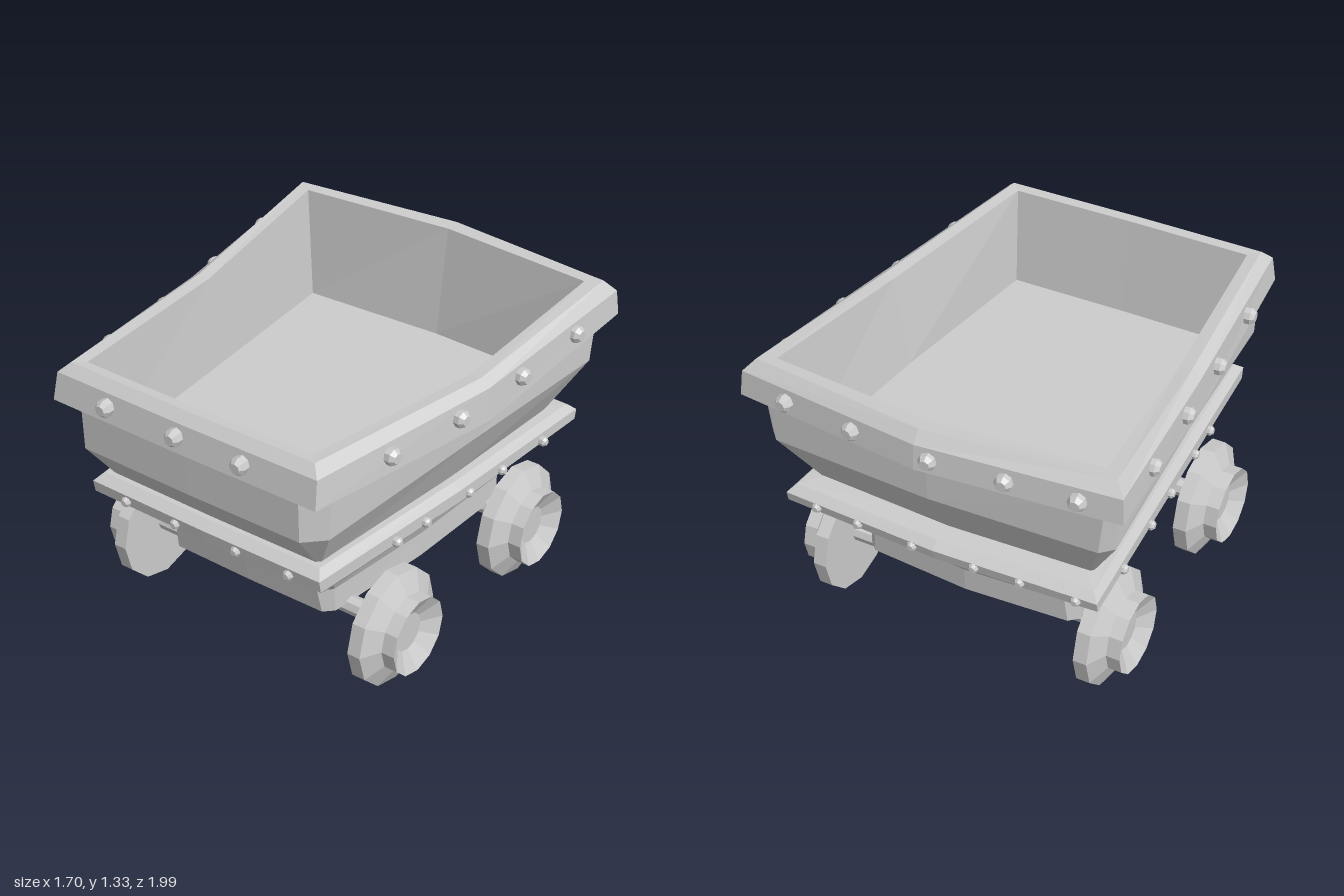
import * as THREE from 'three';

const mat = new THREE.MeshStandardMaterial({ color: 0xcccccc, flatShading: true });
const openMat = new THREE.MeshStandardMaterial({ color: 0xcccccc, flatShading: true, side: THREE.DoubleSide });

// Horizontal loop of a tapered box: wide back, narrow front, bowed back edge,
// separate heights at front, middle and back; c and cb cut the front and back corners.
function ring({ xf, xb, zf, zb, yf, ym = yf, yb = yf, bow = 0.03, bulge = 0.02, c = 0, cb = c }) {
  const xm = (xf + xb) / 2;
  const corner = (x, y, z, cut, sideFirst) => {
    if (!cut) return [[x, y, z]];
    const onEnd = [x - Math.sign(x) * cut, y, z];
    const onSide = [x, y, z - Math.sign(z) * cut];
    return sideFirst ? [onSide, onEnd] : [onEnd, onSide];
  };
  return [
    ...corner(xf, yf, zf, c, false),
    [xm + bulge, ym, 0],
    ...corner(xb, yb, zb, cb, true),
    [0, yb, zb - bow],
    ...corner(-xb, yb, zb, cb, false),
    [-xm, ym, 0],
    ...corner(-xf, yf, zf, c, true),
    [0, yf, zf + 0.005],
  ];
}

// Skin a stack of loops, optionally closing the first or last one.
function loft(name, rings, { capFirst = false, capLast = false } = {}) {
  const n = rings[0].length;
  const pos = rings.flat(2);
  const idx = [];
  for (let r = 0; r < rings.length - 1; r++) {
    for (let i = 0; i < n; i++) {
      const j = (i + 1) % n;
      const a = r * n + i, b = r * n + j;
      idx.push(a, b, b + n, a, b + n, a + n);
    }
  }
  const cap = (r, up) => {
    const centre = pos.length / 3;
    const y = rings[r].reduce((s, p) => s + p[1], 0) / n;
    pos.push(0, y, 0);
    for (let i = 0; i < n; i++) {
      const a = r * n + i, b = r * n + (i + 1) % n;
      idx.push(centre, ...(up ? [a, b] : [b, a]));
    }
  };
  if (capFirst) cap(0, false);
  if (capLast) cap(rings.length - 1, true);
  const geo = new THREE.BufferGeometry();
  geo.setAttribute('position', new THREE.Float32BufferAttribute(pos, 3));
  geo.setIndex(idx);
  const flat = geo.toNonIndexed();
  flat.computeVertexNormals();
  const mesh = new THREE.Mesh(flat, openMat);
  mesh.name = name;
  return mesh;
}

function lathe(name, points, sides) {
  const geo = new THREE.LatheGeometry(points.map(([r, y]) => new THREE.Vector2(r, y)), sides);
  const mesh = new THREE.Mesh(geo, mat);
  mesh.name = name;
  return mesh;
}

// Faceted stud pointing along (nx, 0, nz)
function rivet(name, x, y, z, nx, nz, s) {
  const mesh = lathe(name, [[0, -s], [s, -s], [s, s * 0.45], [s * 0.6, s * 0.95], [0, s * 0.95]], 8);
  mesh.position.set(x, y, z);
  mesh.quaternion.setFromUnitVectors(new THREE.Vector3(0, 1, 0), new THREE.Vector3(nx, 0, nz).normalize());
  return mesh;
}

// Flanged wheel with a dished hub, facing +x (side = 1) or -x (side = -1)
function wheel(name, side, z) {
  const mesh = lathe(name, [
    [0, 0], [0.258, 0], [0.258, 0.06], [0.172, 0.105],
    [0.172, 0.165], [0.085, 0.115], [0, 0.115],
  ], 12);
  mesh.rotation.z = -side * Math.PI / 2;
  mesh.position.set(side > 0 ? 0.602 : -0.572, 0.258, z);
  return mesh;
}

export function createModel() {
  const cart = new THREE.Group();
  cart.name = 'mineCart';

  // Lower tub
  cart.add(loft('lowerTub', [
    ring({ xf: 0.42, xb: 0.5, zf: 0.56, zb: -0.59, yf: 0.285, c: 0.04 }),
    ring({ xf: 0.42, xb: 0.5, zf: 0.58, zb: -0.6, yf: 0.4, c: 0.05 }),
    ring({ xf: 0.51, xb: 0.59, zf: 0.71, zb: -0.7, yf: 0.61, c: 0.04 }),
  ], { capFirst: true }));

  // Skirt band around the waist
  cart.add(loft('skirtBand', [
    ring({ xf: 0.48, xb: 0.56, zf: 0.68, zb: -0.67, yf: 0.6 }),
    ring({ xf: 0.55, xb: 0.66, zf: 0.77, zb: -0.78, yf: 0.592 }),
    ring({ xf: 0.58, xb: 0.71, zf: 0.83, zb: -0.825, yf: 0.635 }),
    ring({ xf: 0.58, xb: 0.71, zf: 0.84, zb: -0.835, yf: 0.69, yb: 0.68 }),
    ring({ xf: 0.55, xb: 0.68, zf: 0.8, zb: -0.8, yf: 0.722, yb: 0.712 }),
    ring({ xf: 0.46, xb: 0.56, zf: 0.7, zb: -0.66, yf: 0.722 }),
  ]));

  // Flared hopper
  cart.add(loft('hopper', [
    ring({ xf: 0.52, xb: 0.62, zf: 0.76, zb: -0.7, yf: 0.7, c: 0.01 }),
    ring({ xf: 0.62, xb: 0.77, zf: 0.91, zb: -0.855, yf: 0.9, ym: 0.955, yb: 0.96, c: 0.08, cb: 0.05 }),
    ring({ xf: 0.63, xb: 0.775, zf: 0.915, zb: -0.86, yf: 1.12, ym: 1.09, yb: 1.18, c: 0.09, cb: 0.03 }),
  ]));

  // Heavy rim, sagging at the middle of the sides
  const rim = { bow: 0.083, bulge: 0.045 };
  const lip = ring({ ...rim, xf: 0.555, xb: 0.72, zf: 0.845, zb: -0.8, bow: 0.06, yf: 1.265, ym: 1.245, yb: 1.325 });
  cart.add(loft('rim', [
    ring({ ...rim, xf: 0.59, xb: 0.75, zf: 0.87, zb: -0.825, bow: 0.05, yf: 1.1, ym: 1.06, yb: 1.14 }),
    ring({ ...rim, xf: 0.62, xb: 0.8, zf: 0.92, zb: -0.86, yf: 1.085, ym: 1.055, yb: 1.14 }),
    ring({ ...rim, xf: 0.65, xb: 0.84, zf: 0.953, zb: -0.895, yf: 1.11, ym: 1.075, yb: 1.17 }),
    ring({ ...rim, xf: 0.64, xb: 0.83, zf: 0.93, zb: -0.885, yf: 1.23, ym: 1.22, yb: 1.28 }),
    ring({ ...rim, xf: 0.6, xb: 0.785, zf: 0.89, zb: -0.845, yf: 1.27, ym: 1.25, yb: 1.33 }),
    lip,
  ]));

  // Inner walls and floor
  cart.add(loft('innerWalls', [
    lip,
    ring({ xf: 0.535, xb: 0.67, zf: 0.79, zb: -0.765, yf: 0.83 }),
  ], { capLast: true }));

  // Rim rivets
  for (const [z, y] of [[0.56, 1.17], [0.18, 1.165], [-0.2, 1.185], [-0.58, 1.21]]) {
    const x = 0.745 - 0.098 * z;
    const bulge = 0.045 * (1 - Math.abs(z) / 0.9);
    cart.add(rivet('rimRivet', x + bulge, y, z, 1, 0.1, 0.037));
    cart.add(rivet('rimRivet', -x, y, z, -1, 0.1, 0.037));
  }
  for (const x of [-0.37, -0.02, 0.3]) cart.add(rivet('rimRivet', x, 1.175, 0.952, 0, 1, 0.037));
  for (const x of [-0.66, -0.37, -0.06, 0.29, 0.61]) {
    const z = -0.971 + 0.09 * Math.abs(x);
    cart.add(rivet('rimRivet', x, 1.225, z, 0.09 * Math.sign(x), -1, 0.037));
  }

  // Skirt rivets
  for (const z of [0.4, 0.22, -0.06, -0.28, -0.57]) {
    const x = 0.648 - 0.076 * z;
    cart.add(rivet('skirtRivet', x + 0.015, 0.65, z, 1, 0.07, 0.022));
    cart.add(rivet('skirtRivet', -x, 0.65, z, -1, 0.07, 0.022));
  }
  for (const x of [-0.4, -0.14, 0.17, 0.43]) {
    cart.add(rivet('skirtRivet', x, 0.66, 0.838, 0, 1, 0.022));
  }
  for (const x of [0.56, 0.36, 0.1, -0.18, -0.38, -0.62]) {
    cart.add(rivet('skirtRivet', x, 0.66, -0.858 + 0.04 * Math.abs(x), 0, -1, 0.022));
  }

  // Axles and wheels
  for (const [end, z] of [['front', 0.43], ['back', -0.5]]) {
    const axle = new THREE.Mesh(new THREE.CylinderGeometry(0.041, 0.041, 1.2, 8), mat);
    axle.name = end + 'Axle';
    axle.rotation.z = Math.PI / 2;
    axle.position.set(0.015, 0.268, z);
    cart.add(axle, wheel(end + 'LeftWheel', 1, z), wheel(end + 'RightWheel', -1, z));
  }
  return cart;
}
